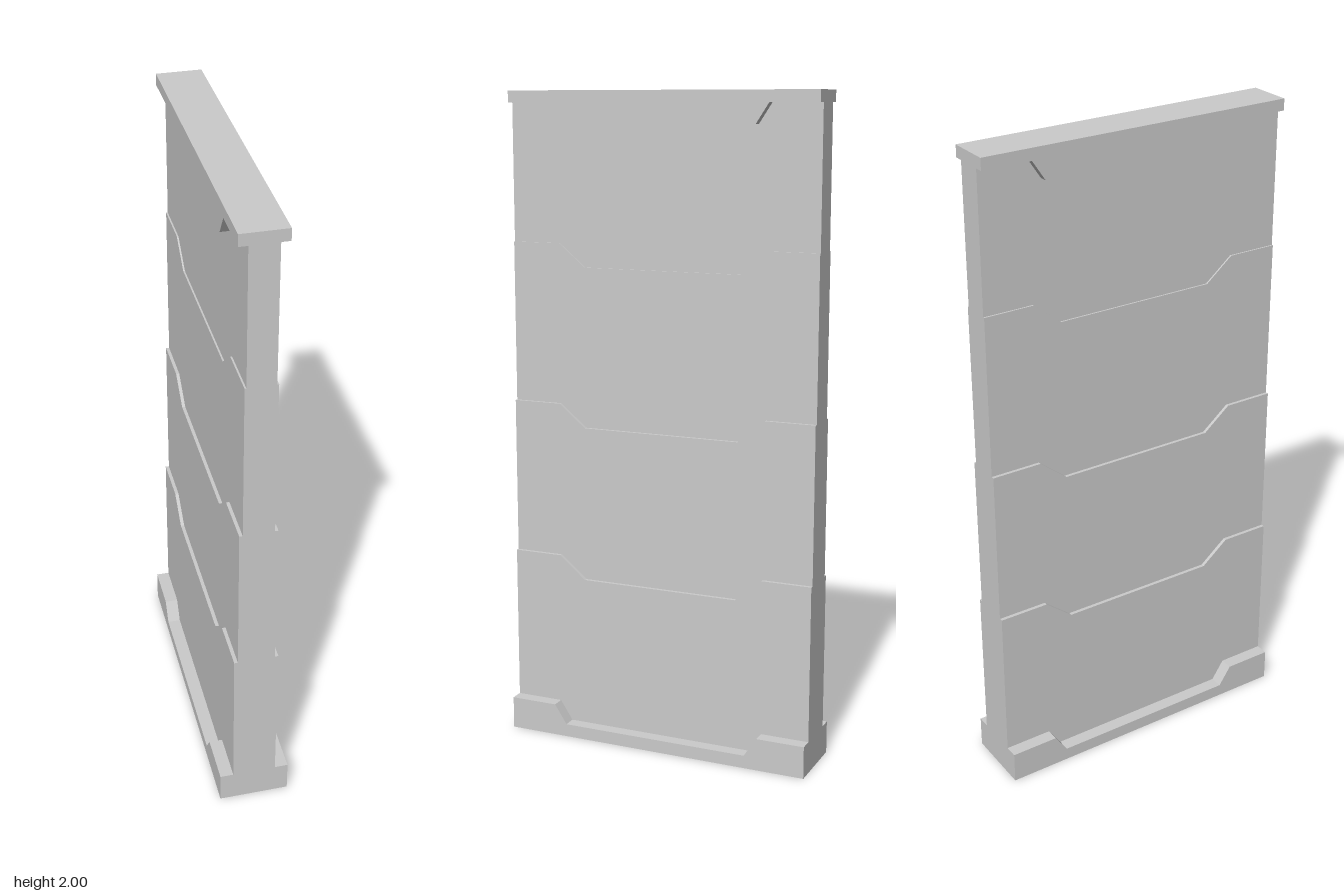
import * as THREE from 'three';

const HALF_LENGTH = 0.49;

// Edge line along the wall, high at both ends and dropped in the middle
function notchLine({ end, mid, outer, inner }) {
  return [
    [-HALF_LENGTH, end], [-outer, end], [-inner, mid],
    [inner, mid], [outer, end], [HALF_LENGTH, end],
  ];
}

const flat = (y) => [[-HALF_LENGTH, y], [HALF_LENGTH, y]];

// Slab between two edge lines, extruded across the wall's thickness
function slab(name, lower, upper, halfWidth, material) {
  const outline = [...lower, ...[...upper].reverse()];
  const shape = new THREE.Shape(outline.map(([z, y]) => new THREE.Vector2(z, y)));
  const geometry = new THREE.ExtrudeGeometry(shape, { depth: halfWidth * 2, bevelEnabled: false });
  geometry.translate(0, 0, -halfWidth);
  geometry.rotateY(-Math.PI / 2);
  const mesh = new THREE.Mesh(geometry, material);
  mesh.name = name;
  return mesh;
}

export function createModel() {
  const model = new THREE.Group();
  model.name = 'steppedWall';
  const material = new THREE.MeshStandardMaterial({ color: 0xcccccc, flatShading: true });

  // Edge lines between neighbouring layers, from bottom to top
  const edges = [
    flat(0),
    notchLine({ end: 0.1, mid: 0.04, outer: 0.34, inner: 0.3 }),
    ...[0.58, 1.06, 1.55].map((y) => notchLine({ end: y, mid: y - 0.07, outer: 0.335, inner: 0.25 })),
    notchLine({ end: 1.965, mid: 1.905, outer: 0.34, inner: 0.3 }),
    flat(2),
  ];

  // Footing, four panels that get thinner upwards, and the overhanging cap
  const layers = [
    ['footing', 0.108],
    ['lowerPanel', 0.067],
    ['lowerMiddlePanel', 0.056],
    ['upperMiddlePanel', 0.046],
    ['upperPanel', 0.041],
    ['cap', 0.067],
  ];
  layers.forEach(([name, halfWidth], i) => {
    model.add(slab(name, edges[i], edges[i + 1], halfWidth, material));
  });

  return model;
}
